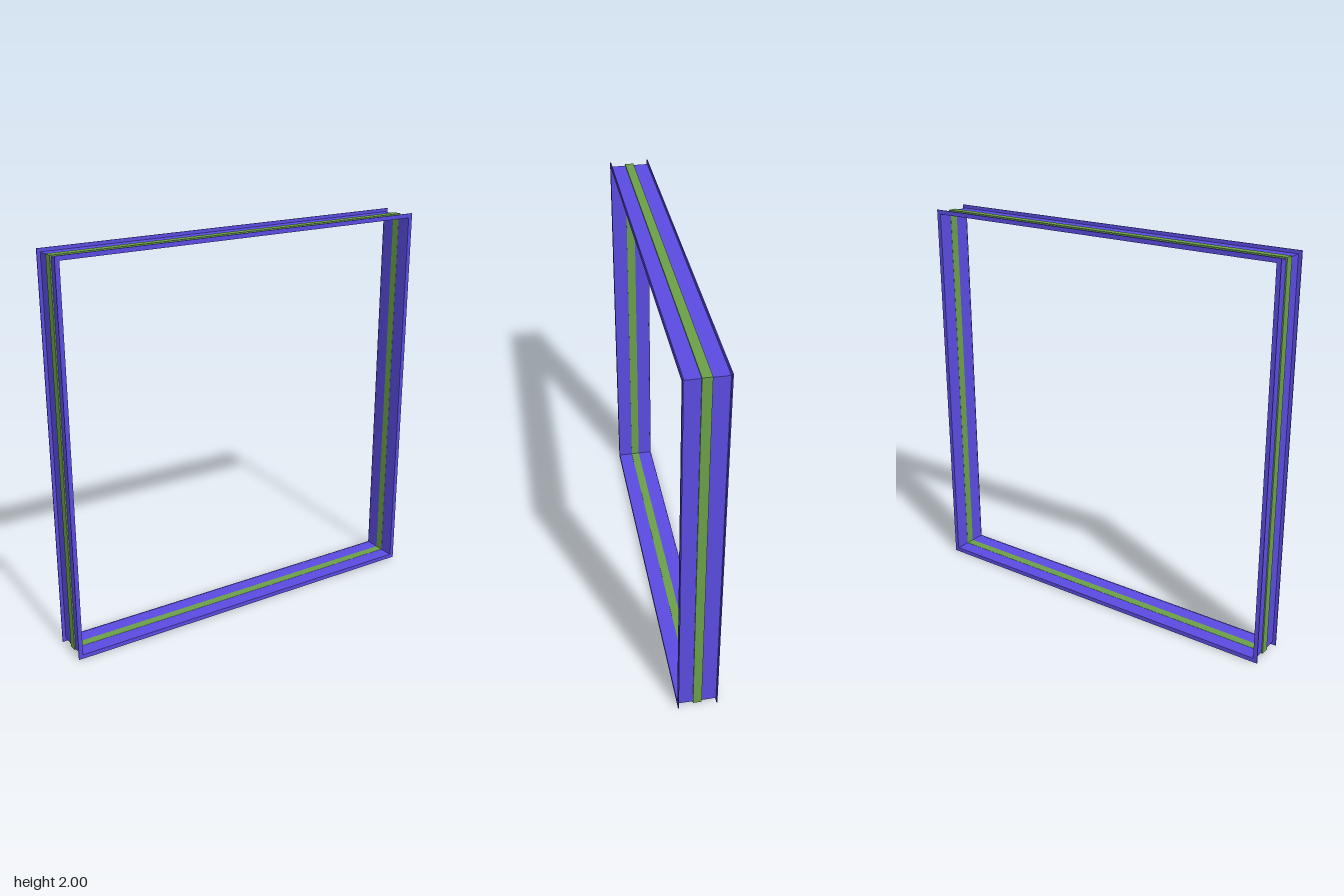
import * as THREE from 'three';

const purple = new THREE.MeshStandardMaterial({ color: 0x5a4be0 });
const green = new THREE.MeshStandardMaterial({ color: 0x6a9f48 });

// Square ring between two half-widths, spanning z0..z1
function ring(name, outer, inner, z0, z1, material) {
  const square = (target, h) => target
    .moveTo(-h, -h).lineTo(h, -h).lineTo(h, h).lineTo(-h, h).closePath();
  const shape = square(new THREE.Shape(), outer);
  shape.holes.push(square(new THREE.Path(), inner));
  const geometry = new THREE.ExtrudeGeometry(shape, { depth: z1 - z0, bevelEnabled: false });
  geometry.translate(0, 1, z0);
  const mesh = new THREE.Mesh(geometry, material);
  mesh.name = name;
  return mesh;
}

export function createModel() {
  const frame = new THREE.Group();
  frame.name = 'squareFrame';

  // Thin raised lips along the front and back edges
  frame.add(ring('frontFlange', 1, 0.978, 0.095, 0.1, purple));
  frame.add(ring('backFlange', 1, 0.978, -0.1, -0.095, purple));

  // Recessed web panels on each side of the centre strip
  frame.add(ring('frontWeb', 0.983, 0.979, 0.022, 0.095, purple));
  frame.add(ring('backWeb', 0.983, 0.979, -0.095, -0.022, purple));

  // Centre strip, slightly proud of the web
  frame.add(ring('centreStrip', 0.989, 0.978, -0.022, 0.022, green));

  return frame;
}
